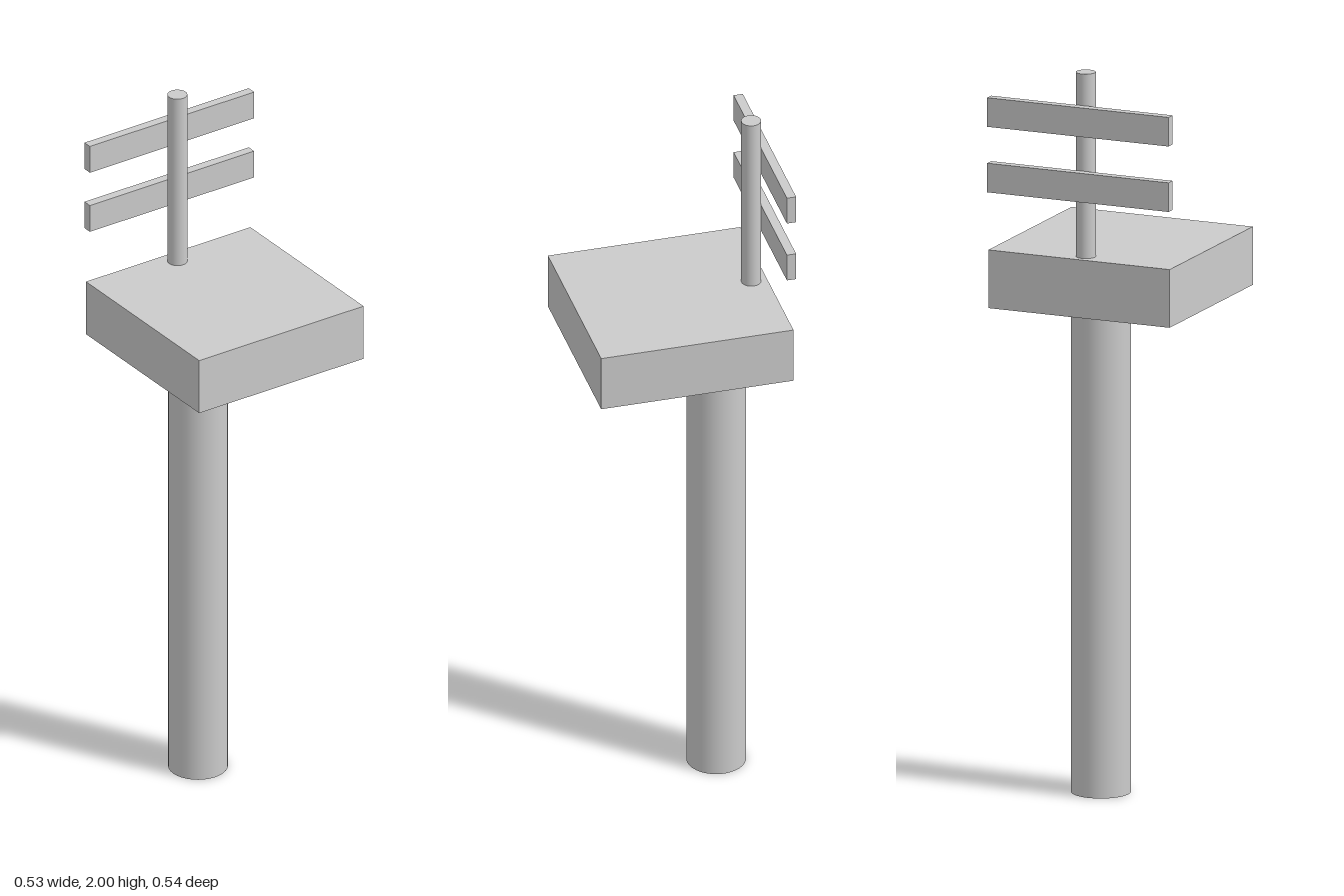
import * as THREE from 'three';

const material = new THREE.MeshStandardMaterial({ color: 0xcccccc });

export function createModel() {
  const model = new THREE.Group();
  model.name = 'postWithPlatform';

  const add = (name, geometry, x, y, z) => {
    const mesh = new THREE.Mesh(geometry, material);
    mesh.name = name;
    mesh.position.set(x, y, z);
    model.add(mesh);
  };
  // Upright round bar standing on a given height
  const addPole = (name, radius, bottom, top, z) =>
    add(name, new THREE.CylinderGeometry(radius, radius, top - bottom, 32), 0, (bottom + top) / 2, z);

  const width = 0.533;

  // Main post carrying the square platform
  addPole('post', 0.08, 0, 1.333, -0.123);
  add('platform', new THREE.BoxGeometry(width, 0.16, width), 0, 1.413, 0.003);

  // Back support: thin pole with two slats fixed behind it
  addPole('backPole', 0.0267, 1.493, 2, -0.22);
  [['lowerSlat', 1.693], ['upperSlat', 1.873]].forEach(([name, y]) =>
    add(name, new THREE.BoxGeometry(width, 0.08, 0.0255), 0, y, -0.258));

  return model;
}
